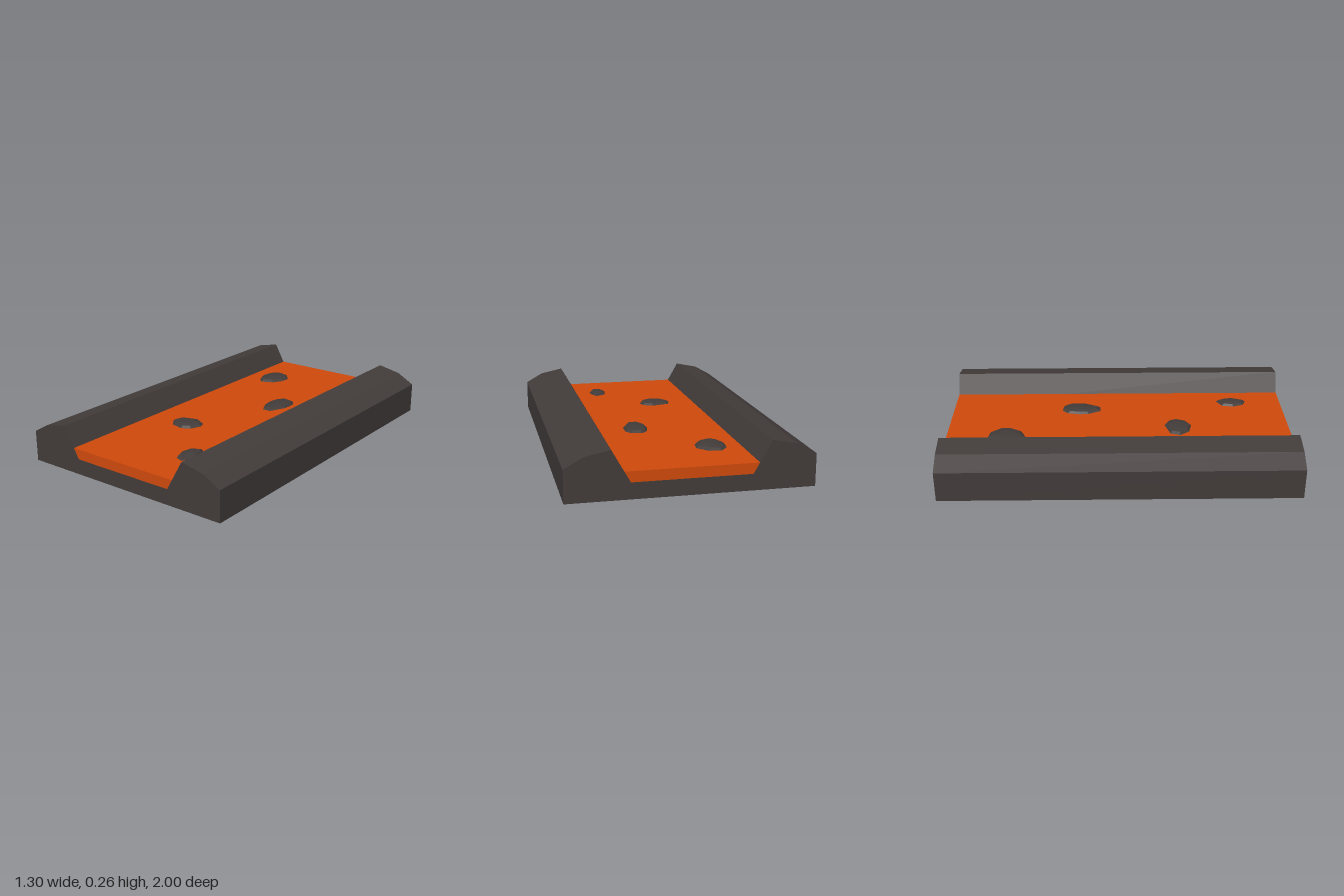
import * as THREE from 'three';

const stone = new THREE.MeshStandardMaterial({ name: 'dark stone', color: 0x423c3a, flatShading: true });
const lava = new THREE.MeshStandardMaterial({ name: 'lava orange', color: 0xd04a0c, flatShading: true });

const LENGTH = 2;
const LAVA_TOP = 0.146;

// Prism along z from a counter-clockwise x/y profile
function prism(name, profile, material) {
  const shape = new THREE.Shape(profile.map(([x, y]) => new THREE.Vector2(x, y)));
  const geometry = new THREE.ExtrudeGeometry(shape, { depth: LENGTH, bevelEnabled: false });
  geometry.translate(0, 0, -LENGTH / 2);
  const mesh = new THREE.Mesh(geometry, material);
  mesh.name = name;
  return mesh;
}

// Low faceted lump: the outline shrinks ring by ring towards a flat crown
function lump(name, outline) {
  const n = outline.length;
  const cx = outline.reduce((s, p) => s + p[0], 0) / n;
  const cz = outline.reduce((s, p) => s + p[1], 0) / n;
  const rings = [[0.8, 0.13], [1, LAVA_TOP], [0.82, 0.158], [0.45, 0.164]];
  const positions = [];
  const index = [];
  for (const [scale, y] of rings) {
    for (const [x, z] of outline) positions.push(cx + (x - cx) * scale, y, cz + (z - cz) * scale);
  }
  positions.push(cx, 0.165, cz);
  const crown = rings.length * n;
  for (let i = 0; i < n; i++) {
    const j = (i + 1) % n;
    for (let r = 0; r < rings.length - 1; r++) {
      const a = r * n + i, b = r * n + j;
      index.push(a, a + n, b, b, a + n, b + n);
    }
    index.push(crown - n + i, crown, crown - n + j);
  }
  const geometry = new THREE.BufferGeometry();
  geometry.setAttribute('position', new THREE.Float32BufferAttribute(positions, 3));
  geometry.setIndex(index);
  geometry.computeVertexNormals();
  const mesh = new THREE.Mesh(geometry, stone);
  mesh.name = name;
  return mesh;
}

export function createModel() {
  const group = new THREE.Group();
  group.name = 'lavaChannel';

  // Stone bed with a raised bank on each side
  const half = [[0.648, 0], [0.648, 0.175], [0.547, 0.232], [0.412, 0.26], [0.314, 0.088]];
  const mirrored = half.map(([x, y]) => [-x, y]).reverse();
  group.add(prism('stoneBed', [...half, ...mirrored], stone));

  // Lava filling the channel
  group.add(prism('lavaFlow',
    [[-0.314, 0.088], [0.314, 0.088], [0.347, LAVA_TOP], [-0.347, LAVA_TOP]], lava));

  // Crust lumps floating on the lava, outlines in x/z
  const outlines = [
    [[-0.22, -0.76], [-0.15, -0.75], [-0.1, -0.69], [-0.105, -0.63], [-0.14, -0.57],
      [-0.21, -0.54], [-0.245, -0.575], [-0.27, -0.64], [-0.26, -0.71]],
    [[0.12, -0.34], [0.18, -0.33], [0.206, -0.29], [0.206, -0.21], [0.16, -0.11],
      [0.11, -0.11], [0.074, -0.18], [0.07, -0.235], [0.085, -0.305]],
    [[-0.075, 0.27], [-0.02, 0.3], [-0.007, 0.34], [-0.03, 0.4], [-0.08, 0.427],
      [-0.155, 0.41], [-0.197, 0.355], [-0.18, 0.3]],
    [[0.228, 0.607], [0.25, 0.65], [0.26, 0.705], [0.228, 0.787], [0.18, 0.77],
      [0.158, 0.705], [0.17, 0.64]],
  ];
  outlines.forEach((outline, i) => group.add(lump(`crustLump${i + 1}`, outline)));

  return group;
}
